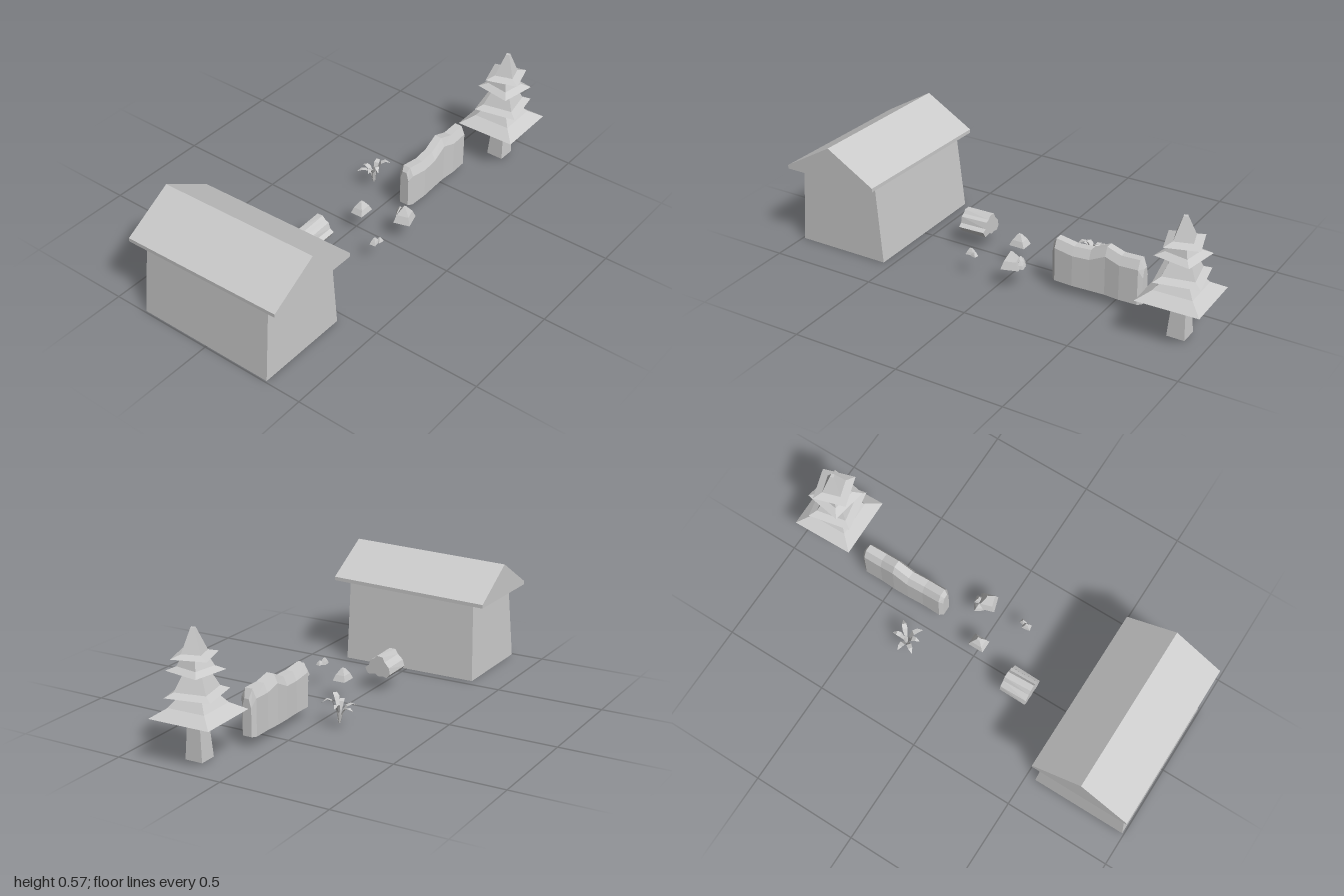
import * as THREE from 'three';

const material = new THREE.MeshStandardMaterial({ color: 0xcccccc, flatShading: true });

// Closed faceted solid through rings of equal point count, turned outward by its volume
function loft(rings) {
  const n = rings[0].length, tris = [];
  for (let i = 0; i < rings.length - 1; i++) {
    for (let j = 0; j < n; j++) {
      const k = (j + 1) % n;
      const a = rings[i][j], b = rings[i][k], c = rings[i + 1][k], d = rings[i + 1][j];
      tris.push([a, b, c], [a, c, d]);
    }
  }
  const centre = (r) => [0, 1, 2].map((c) => r.reduce((s, p) => s + p[c], 0) / n);
  const first = rings[0], last = rings[rings.length - 1];
  const c0 = centre(first), c1 = centre(last);
  for (let j = 0; j < n; j++) {
    const k = (j + 1) % n;
    tris.push([c0, first[k], first[j]], [c1, last[j], last[k]]);
  }
  const v = (p) => new THREE.Vector3(...p);
  const volume = tris.reduce((s, [a, b, c]) => s + v(a).dot(v(b).cross(v(c))), 0);
  if (volume < 0) tris.forEach((t) => t.reverse());
  const geo = new THREE.BufferGeometry();
  geo.setAttribute('position', new THREE.Float32BufferAttribute(tris.flat(2), 3));
  geo.computeVertexNormals();
  return geo;
}

// Horizontal rectangle ring, turned by an angle about its centre
function square(x, y, z, hx, hz = hx, turn = 0) {
  const c = Math.cos(turn), s = Math.sin(turn);
  return [[-1, -1], [1, -1], [1, 1], [-1, 1]].map(([i, j]) =>
    [x + i * hx * c + j * hz * s, y, z - i * hx * s + j * hz * c]);
}

function add(parent, name, geometry, mat = material) {
  const mesh = new THREE.Mesh(geometry, mat);
  mesh.name = name;
  parent.add(mesh);
  return mesh;
}

function group(parent, name) {
  const g = new THREE.Group();
  g.name = name;
  parent.add(g);
  return g;
}

function buildHouse(root) {
  const house = group(root, 'house');
  add(house, 'walls', loft([
    square(-0.768, 0, -0.009, 0.224, 0.335),
    square(-0.768, 0.385, 0, 0.193, 0.325),
  ]));
  // Pentagonal gable roof, sinking slightly toward the back
  const gable = (z, drop) => [
    [-1, 0.383 - drop, z], [-0.538, 0.383 - drop, z], [-0.538, 0.4 - drop, z],
    [-0.768, 0.537 - drop, z], [-1, 0.4 - drop, z],
  ];
  add(house, 'roof', loft([gable(0.392, 0), gable(-0.39, 0.022)]));
}

function buildTree(root) {
  const tree = group(root, 'tree');
  const x = 0.857, z = 0.196;
  add(tree, 'trunk', loft([
    square(x + 0.003, 0.01, z, 0.041),
    square(x + 0.008, 0.24, z, 0.027),
  ]));
  // Flared tiers: base y, mid y, top y, their half widths, turn
  const tiers = [
    [0.2, 0.238, 0.3, 0.144, 0.088, 0.042, 0.02],
    [0.29, 0.308, 0.4, 0.1, 0.07, 0.032, 0.2],
    [0.388, 0.405, 0.475, 0.086, 0.054, 0.026, -0.17],
    [0.45, 0.464, 0.566, 0.076, 0.042, 0.008, 0.3],
  ];
  tiers.forEach(([y0, y1, y2, h0, h1, h2, turn], i) => {
    const lean = i * 0.002;
    add(tree, 'foliageTier' + (i + 1), loft([
      square(x + lean, y0 + 0.025, z + lean, h2, h2, turn),
      square(x + lean, y0, z + lean, h0, h0, turn),
      square(x + lean, y1, z + lean, h1, h1, turn),
      square(x + lean, y2, z + lean * 1.5, h2, h2, turn),
    ]));
  });
}

function buildHedge(root) {
  // Stations along x: x, top height, half depth, centre shift
  const stations = [
    [0.215, 0.225, 0.022, 0], [0.232, 0.248, 0.036, 0], [0.32, 0.235, 0.037, 0.003],
    [0.4, 0.238, 0.037, -0.001], [0.475, 0.274, 0.036, -0.003], [0.545, 0.254, 0.037, 0.002],
    [0.632, 0.256, 0.036, 0], [0.65, 0.215, 0.022, 0],
  ];
  add(root, 'hedge', loft(stations.map(([x, top, h, dz]) => [
    [0, -1], [0, 1], [1, 1], [2, 0.5], [2, -0.5], [1, -1],
  ].map(([level, side]) => [
    x, [0.049, top - 0.04, top][level], 0.105 + dz + side * h,
  ]))));
}

function buildLog(root) {
  // Rugged bark outline (z, y), swept along x with a small twist
  const outline = [
    [0.03, 0.105], [0.012, 0.078], [-0.025, 0.084], [-0.042, 0.075], [-0.062, 0.08],
    [-0.085, 0.076], [-0.1, 0.095], [-0.092, 0.125], [-0.068, 0.148], [-0.055, 0.17],
    [-0.026, 0.171], [-0.012, 0.155], [0.005, 0.147], [0.012, 0.118],
  ];
  const end = (x, turn) => outline.map(([z, y]) => {
    const dz = z + 0.035, dy = y - 0.122;
    return [x, 0.122 + dy * Math.cos(turn) + dz * Math.sin(turn) * 0.6,
      -0.035 + dz * Math.cos(turn) - dy * Math.sin(turn)];
  });
  add(root, 'log', loft([end(-0.332, -0.04), end(-0.2, 0.08)]));
}

function buildRocks(root) {
  const rocks = group(root, 'rocks');
  // x, z, half x, half z, height, width of the top, turn
  const list = [
    [-0.006, 0.034, 0.038, 0.03, 0.052, 0.2, 0],
    [0.064, 0.22, 0.04, 0.038, 0.072, 0.12, 0.3],
    [0.086, 0.18, 0.022, 0.018, 0.036, 0.15, 0.6],
    [0.103, 0.21, 0.018, 0.018, 0.03, 0.15, 0.2],
    [-0.147, 0.216, 0.02, 0.014, 0.026, 0.3, 0.15],
    [-0.123, 0.226, 0.014, 0.011, 0.018, 0.3, -0.2],
  ];
  list.forEach(([x, z, hx, hz, h, top, turn], i) => {
    add(rocks, 'rock' + (i + 1), loft([
      square(x, 0.108, z, hx, hz, turn),
      square(x, 0.108 + h * 0.5, z, hx * 0.68, hz * 0.72, turn),
      square(x, 0.108 + h, z, hx * top, hz * top, turn),
    ]));
  });
}

function buildPlant(root) {
  const plant = group(root, 'plant');
  plant.position.set(0.284, 0.036, -0.12);
  const leafMaterial = material.clone();
  leafMaterial.side = THREE.DoubleSide;
  // Arching leaves: tip x, tip z, peak height
  const leaves = [
    [0.004, -0.068, 0.068], [-0.062, -0.05, 0.075], [0.064, -0.014, 0.09],
    [0.052, 0.056, 0.108], [-0.05, 0.062, 0.114], [-0.062, 0.014, 0.09],
  ];
  // Distance out, share of peak height, half width
  const profile = [[0.05, 0, 0.006], [0.18, 0.55, 0.007], [0.42, 0.92, 0.012], [0.7, 1, 0.01], [1, 0.86, 0.001]];
  leaves.forEach(([x, z, peak], i) => {
    const len = Math.hypot(x, z), px = -z / len, pz = x / len;
    add(plant, 'leaf' + (i + 1), loft(profile.map(([out, up, w]) => [
      [x * out + px * w, peak * up, z * out + pz * w],
      [x * out, peak * up - 0.008 * (1 - out * 0.8), z * out],
      [x * out - px * w, peak * up, z * out - pz * w],
    ])), leafMaterial);
  });
}

export function createModel() {
  const root = new THREE.Group();
  root.name = 'homestead';
  buildHouse(root);
  buildTree(root);
  buildHedge(root);
  buildLog(root);
  buildRocks(root);
  buildPlant(root);
  return root;
}
